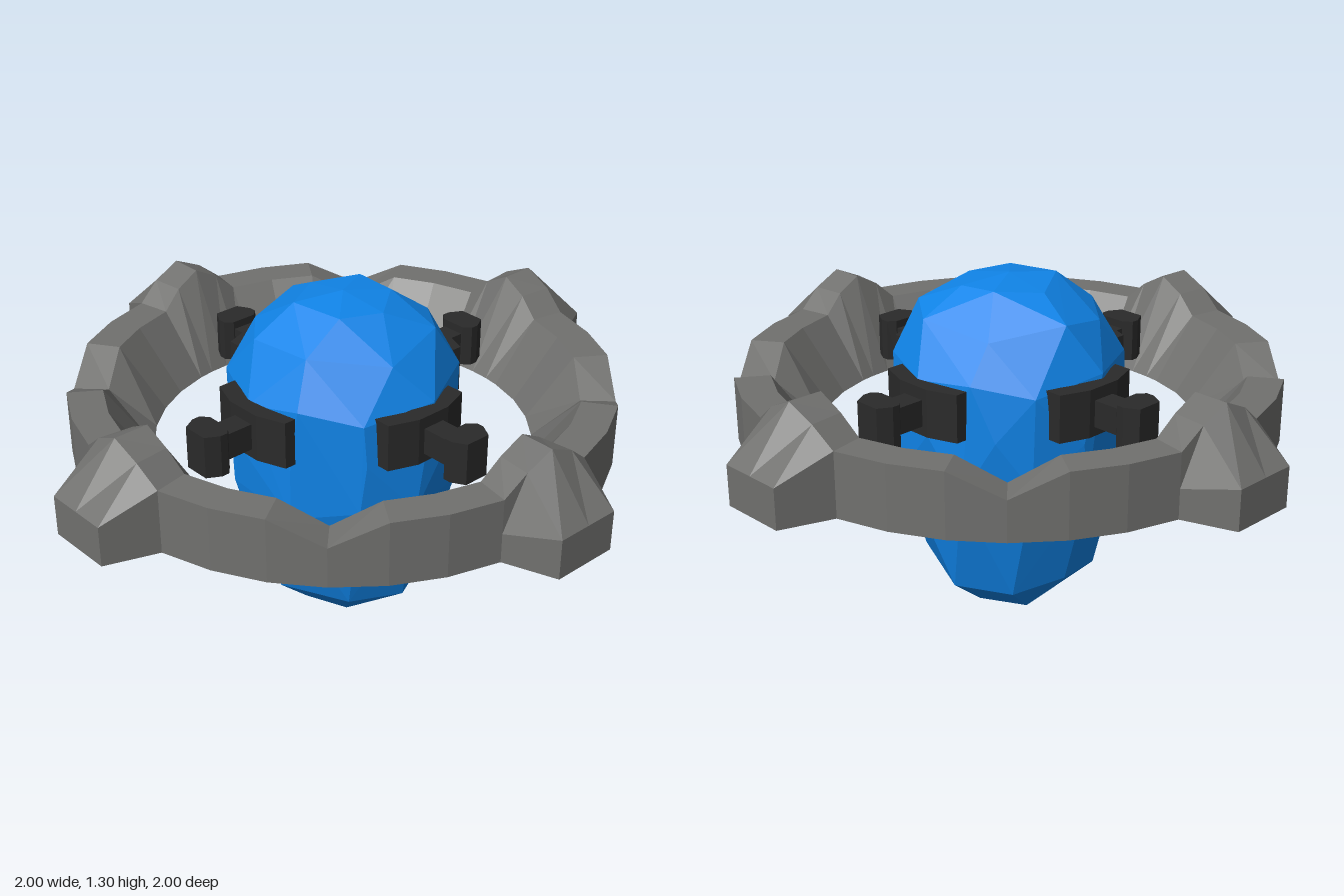
import * as THREE from 'three';
import { ConvexGeometry } from 'three/addons/geometries/ConvexGeometry.js';

const mat = (color) => new THREE.MeshStandardMaterial({ color, flatShading: true });
const RAD = Math.PI / 180;

// Cross-sections (radius, height), from outer bottom over the top to inner bottom
const section = (top) => [[1, 0.73], [1, 0.84], [1, top], [0.87, top], [0.7, 0.73]];
const lug = (outer, top) => [[outer, 0.73], [outer, 0.88], [1, top], [0.87, top], [0.7, 0.73]];

// Ring with a notch at the start of each quarter and a lug in the middle of it
function ringGeometry() {
  const quarter = [
    [0, section(0.88)], [11.25, section(0.97)], [22.5, section(0.97)], [33.75, section(0.97)],
    [38.8, lug(1.18, 1.04)], [45, lug(1.173, 1.09)], [51.2, lug(1.18, 1.04)],
    [56.25, section(0.97)], [67.5, section(0.97)], [78.75, section(0.97)],
  ];
  const loops = [];
  for (let q = 0; q < 4; q++) {
    for (const [deg, pts] of quarter) {
      const a = (deg + q * 90) * RAD;
      loops.push(pts.map(([r, y]) => [r * Math.cos(a), y, r * Math.sin(a)]));
    }
  }
  const pos = [];
  loops.forEach((A, i) => {
    const B = loops[(i + 1) % loops.length];
    A.forEach((p, j) => {
      const k = (j + 1) % A.length;
      pos.push(...p, ...A[k], ...B[j], ...A[k], ...B[k], ...B[j]);
    });
  });
  const g = new THREE.BufferGeometry();
  g.setAttribute('position', new THREE.Float32BufferAttribute(pos, 3));
  g.computeVertexNormals();
  return g;
}

// Faceted egg-shaped core: hull of staggered, slightly uneven rings
function coreGeometry() {
  const rings = [ // height, radius, count, turn
    [0.01, 0.15, 5, 20], [0.17, 0.325, 8, 0], [0.61, 0.432, 10, 10], [0.8, 0.432, 9, 30],
    [1.0, 0.425, 10, 0], [1.17, 0.335, 8, 15], [1.28, 0.185, 6, 40],
  ];
  const pts = [new THREE.Vector3(0, 1.305, 0)];
  rings.forEach(([y, r, n, turn], k) => {
    for (let i = 0; i < n; i++) {
      const a = turn * RAD + ((i + 0.15 * Math.sin(i * 5 + k)) / n) * Math.PI * 2;
      const dy = k ? 0.025 * Math.sin(i * 2.4 + k * 1.7) : 0.01 * Math.sin(i * 2);
      pts.push(new THREE.Vector3(r * Math.cos(a), y + dy * (k === 6 ? 0.4 : 1), r * Math.sin(a)));
    }
  });
  return new ConvexGeometry(pts);
}

// Plan outline (sideways, outward) extruded down from a top height
function slab(outline, top, height) {
  const shape = new THREE.Shape(outline.map(([x, r]) => new THREE.Vector2(x, r)));
  const g = new THREE.ExtrudeGeometry(shape, { depth: height, bevelEnabled: false });
  g.rotateX(Math.PI / 2);
  g.translate(0, top, 0);
  return g;
}

export function createModel() {
  const model = new THREE.Group();
  const add = (parent, name, geometry, material) => {
    const mesh = new THREE.Mesh(geometry, material);
    mesh.name = name;
    parent.add(mesh);
  };
  const grey = mat(0x70706e), dark = mat(0x2a2a2a), blue = mat(0x1084e8);

  add(model, 'ring', ringGeometry(), grey);
  add(model, 'core', coreGeometry(), blue);

  // Four brackets gripping the core, each pointing at a lug
  const plate = slab([[-0.18, 0.36], [-0.07, 0.4], [0.07, 0.4], [0.18, 0.36],
    [0.18, 0.43], [0.07, 0.47], [-0.07, 0.47], [-0.18, 0.43]], 1.0, 0.18);
  const arm = slab([[-0.045, 0.45], [0.045, 0.45], [0.045, 0.6], [-0.045, 0.6]], 0.955, 0.1);
  const knob = slab([[-0.05, 0.575], [0.05, 0.575], [0.078, 0.6], [0.078, 0.63],
    [0.05, 0.68], [-0.05, 0.68], [-0.078, 0.63], [-0.078, 0.6]], 0.985, 0.16);
  for (let i = 0; i < 4; i++) {
    const bracket = new THREE.Group();
    bracket.name = 'bracket';
    add(bracket, 'gripPlate', plate, dark);
    add(bracket, 'arm', arm, dark);
    add(bracket, 'knob', knob, dark);
    bracket.rotation.y = (45 + i * 90) * RAD;
    model.add(bracket);
  }
  return model;
}
